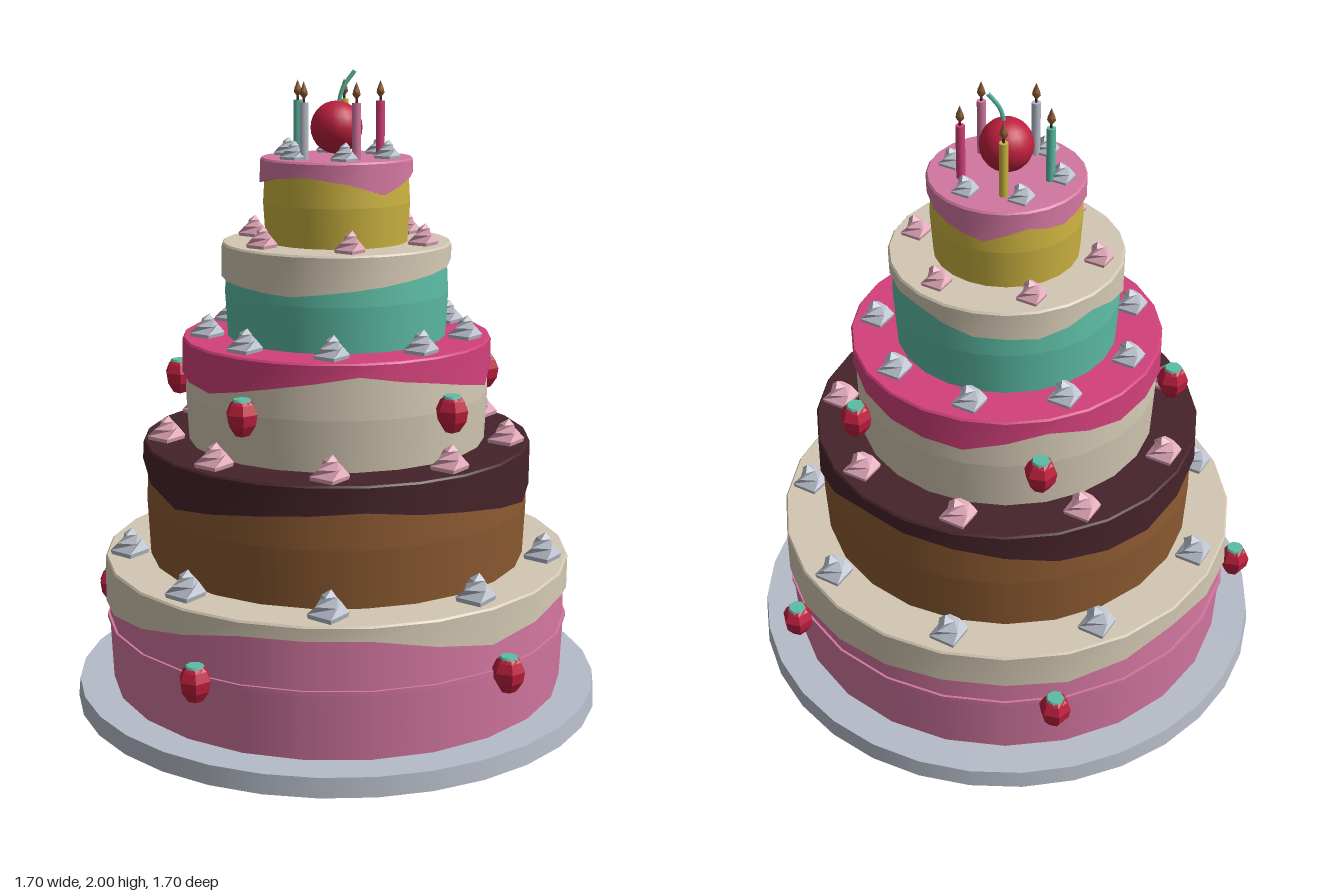
import * as THREE from 'three';
import { toCreasedNormals } from 'three/addons/utils/BufferGeometryUtils.js';

const SEG = 24;
const TAU = Math.PI * 2;

function paint(name, color) {
  const m = new THREE.MeshStandardMaterial({ color });
  m.name = name;
  return m;
}

// Joins rings of points from bottom to top; a ring of one point closes the end
function loft(loops, crease) {
  const pos = [];
  const tri = (...pts) => pts.forEach((p) => pos.push(p.x, p.y, p.z));
  for (let k = 0; k < loops.length - 1; k++) {
    const lo = loops[k], hi = loops[k + 1];
    const n = Math.max(lo.length, hi.length);
    for (let i = 0; i < n; i++) {
      const j = (i + 1) % n;
      if (lo.length === 1) tri(lo[0], hi[j], hi[i]);
      else if (hi.length === 1) tri(lo[i], lo[j], hi[0]);
      else {
        tri(lo[i], lo[j], hi[j]);
        tri(lo[i], hi[j], hi[i]);
      }
    }
  }
  const g = new THREE.BufferGeometry();
  g.setAttribute('position', new THREE.Float32BufferAttribute(pos, 3));
  g.computeVertexNormals();
  return crease ? toCreasedNormals(g, crease) : g;
}

// Ring of n points, angle 0 facing the front
function ring(n, radius, height, turn = 0, dx = 0) {
  return Array.from({ length: n }, (_, i) => {
    const a = (i / n) * TAU + turn;
    const r = typeof radius === 'function' ? radius(i) : radius;
    const y = typeof height === 'function' ? height(i) : height;
    return new THREE.Vector3(r * Math.sin(a) + dx, y, r * Math.cos(a));
  });
}

export function createModel() {
  const cake = new THREE.Group();
  cake.name = 'tieredCake';

  const cream = paint('cream', 0xd2c7b2);
  const pink = paint('pink', 0xd2769f);
  const hotPink = paint('raspberry', 0xd2407a);
  const dark = paint('darkChocolate', 0x45232a);
  const brown = paint('milkChocolate', 0x8c5a31);
  const mint = paint('mint', 0x5cbca4);
  const yellow = paint('lemon', 0xcbb240);
  const silver = paint('silver', 0xb6bcc8);
  const pale = paint('paleRose', 0xdba3b4);
  const red = paint('cherryRed', 0xbd1f3e);

  function add(name, geometry, material, x = 0, y = 0, z = 0, parent = cake) {
    const m = new THREE.Mesh(geometry, material);
    m.name = name;
    m.position.set(x, y, z);
    parent.add(m);
    return m;
  }

  // Cake board
  add('board', new THREE.CylinderGeometry(0.842, 0.848, 0.06, 32), silver, 0, 0.03, 0);

  // Each drip list gives the lower icing edge every 30 degrees from the front
  const tiers = [
    { r: 0.75, y0: 0.055, y1: 0.475, body: pink, icing: cream,
      drip: [0.43, 0.36, 0.4, 0.32, 0.33, 0.36, 0.35, 0.4, 0.36, 0.32, 0.36, 0.43],
      dollop: { n: 9, r: 0.67, size: 0.062, h: 0.09, mat: silver } },
    { r: 0.62, y0: 0.47, y1: 0.85, body: brown, icing: dark,
      drip: [0.77, 0.735, 0.69, 0.72, 0.8, 0.79, 0.74, 0.72, 0.78, 0.79, 0.71, 0.75],
      dollop: { n: 9, r: 0.545, size: 0.06, h: 0.08, mat: pale } },
    { r: 0.49, y0: 0.845, y1: 1.18, body: cream, icing: hotPink,
      drip: [1.14, 1.1, 1.05, 1.13, 1.08, 1.07, 1.13, 1.08, 1.1, 1.07, 1.05, 1.1],
      dollop: { n: 9, r: 0.41, size: 0.055, h: 0.075, mat: silver } },
    { r: 0.362, y0: 1.175, y1: 1.475, body: mint, icing: cream,
      drip: [1.37, 1.39, 1.41, 1.44, 1.43, 1.39, 1.38, 1.42, 1.38, 1.37, 1.36, 1.35],
      dollop: { n: 6, r: 0.287, size: 0.048, h: 0.07, mat: pale } },
    { r: 0.24, y0: 1.47, y1: 1.735, body: yellow, icing: pink,
      drip: [1.67, 1.635, 1.68, 1.7, 1.66, 1.64, 1.68, 1.66, 1.69, 1.66, 1.68, 1.69],
      dollop: { n: 6, r: 0.167, size: 0.042, h: 0.06, mat: silver } },
  ];

  for (const t of tiers) {
    const tier = new THREE.Group();
    tier.name = 'tier';
    cake.add(tier);

    // Two sponge layers, meeting at a slight bulge
    const mid = (t.y0 + t.y1) / 2, half = (t.y1 - 0.01 - t.y0) / 2;
    const rb = t.r - 0.01;
    add('lowerSponge', new THREE.CylinderGeometry(rb, rb - 0.008, half, SEG),
      t.body, 0, t.y0 + half / 2, 0, tier);
    add('upperSponge', new THREE.CylinderGeometry(rb - 0.008, rb, half, SEG),
      t.body, 0, mid - 0.005 + half / 2, 0, tier);

    // Icing with a wavy lower edge, slightly uneven in radius
    const edge = (i) => {
      const k = Math.floor(i / 2);
      return i % 2 ? (t.drip[k] + t.drip[(k + 1) % 12]) / 2 : t.drip[k];
    };
    const low = (i) => t.r + 0.003 * Math.sin(i * 2.1);
    add('icing', loft([
      ring(SEG, t.r - 0.025, edge),
      ring(SEG, low, edge),
      ring(SEG, t.r - 0.002, t.y1 - 0.006),
      ring(SEG, t.r - 0.007, t.y1),
      [new THREE.Vector3(0, t.y1, 0)],
    ], 0.5), t.icing, 0, 0, 0, tier);

    // Ring of piped dollops: twisted four-sided swirls
    const d = t.dollop, s = d.size;
    const swirl = loft([
      ring(4, s * 0.92, 0),
      ring(4, s, d.h * 0.2),
      ring(4, s * 0.72, d.h * 0.5, 0.45),
      ring(4, s * 0.4, d.h * 0.78, 0.95, s * 0.06),
      [new THREE.Vector3(s * 0.15, d.h, 0)],
    ]);
    const start = d.n === 9 ? Math.PI : Math.PI / 2;
    for (let i = 0; i < d.n; i++) {
      const a = start + (i / d.n) * TAU;
      add('dollop', swirl, d.mat, d.r * Math.cos(a), t.y1 - 0.004, d.r * Math.sin(a), tier);
    }
  }

  // Filling line around the bottom tier
  add('fillingBand', new THREE.CylinderGeometry(0.747, 0.747, 0.014, SEG), pink, 0, 0.27, 0);

  // Ridged berries with green caps on the sides of two tiers
  const ridge = (r) => (i) => r * (i % 2 ? 0.86 : 1);
  const berryGeo = loft([
    [new THREE.Vector3(0, -0.058, 0)],
    ring(12, ridge(0.024), -0.05),
    ring(12, ridge(0.045), -0.018),
    ring(12, ridge(0.05), 0.015),
    ring(12, ridge(0.038), 0.043),
    ring(12, 0.028, 0.052),
    [new THREE.Vector3(0, 0.052, 0)],
  ]);
  const capGeo = new THREE.CylinderGeometry(0.026, 0.03, 0.009, 7);
  for (const [radius, y] of [[0.782, 0.27], [0.528, 1.01]]) {
    for (let i = 0; i < 5; i++) {
      const a = THREE.MathUtils.degToRad(-86.4 + i * 72);
      const berry = new THREE.Group();
      berry.name = 'berry';
      berry.position.set(radius * Math.cos(a), y, radius * Math.sin(a));
      add('berryFruit', berryGeo, red, 0, 0, 0, berry);
      add('berryCap', capGeo, mint, 0, 0.054, 0, berry);
      cake.add(berry);
    }
  }

  // Five candles around the centre
  const stickGeo = new THREE.CylinderGeometry(0.014, 0.014, 0.17, 8);
  const wickGeo = new THREE.CylinderGeometry(0.004, 0.004, 0.02, 5);
  const flameGeo = new THREE.LatheGeometry(
    [[0, 0], [0.013, 0.016], [0.011, 0.028], [0, 0.055]].map(([x, y]) => new THREE.Vector2(x, y)), 6);
  [hotPink, pink, silver, mint, yellow].forEach((mat, i) => {
    const a = (i / 5) * TAU;
    const candle = new THREE.Group();
    candle.name = 'candle';
    candle.position.set(0.137 * Math.cos(a), 1.735, 0.137 * Math.sin(a));
    add('candleStick', stickGeo, mat, 0, 0.085, 0, candle);
    add('wick', wickGeo, dark, 0, 0.177, 0, candle);
    add('flame', flameGeo, brown, 0, 0.178, 0, candle);
    cake.add(candle);
  });

  // Cherry on top with a bent stem
  add('cherry', new THREE.SphereGeometry(0.081, 20, 14), red, 0, 1.825, 0);
  const stem = new THREE.CatmullRomCurve3([
    new THREE.Vector3(0.005, 1.89, 0),
    new THREE.Vector3(0.02, 1.945, 0),
    new THREE.Vector3(0.056, 1.996, 0),
  ]);
  add('cherryStem', new THREE.TubeGeometry(stem, 8, 0.007, 6), mint);

  return cake;
}
